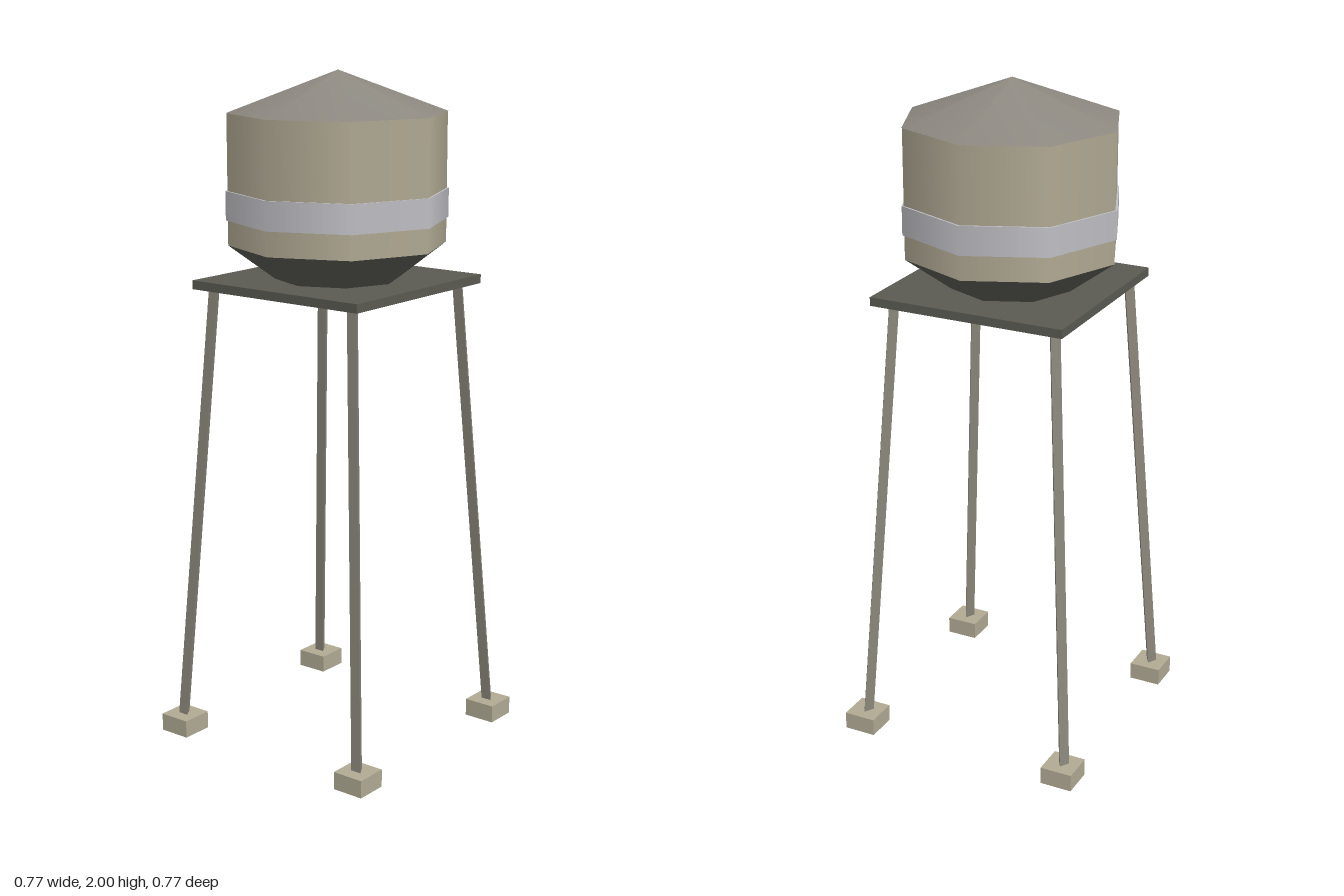
import * as THREE from 'three';

const mat = (color, extra = {}) => new THREE.MeshStandardMaterial({ color, ...extra });

export function createModel() {
  const group = new THREE.Group();
  const tan = mat(0xb0a993);
  const band = mat(0xbfbfc4);
  const roofGrey = mat(0x8c8880);
  const dark = mat(0x5a5a52);
  const legMat = mat(0x8a867a, { flatShading: true });
  const footMat = mat(0xb0a993, { side: THREE.DoubleSide });

  const add = (name, geometry, material, x = 0, y = 0, z = 0) => {
    const mesh = new THREE.Mesh(geometry, material);
    mesh.name = name;
    mesh.position.set(x, y, z);
    group.add(mesh);
    return mesh;
  };

  // Eight-sided ring section between two heights
  const section = (name, rTop, rBottom, y0, y1, material) =>
    add(name, new THREE.CylinderGeometry(rTop, rBottom, y1 - y0, 8), material, 0, (y0 + y1) / 2, 0);

  // Tank, from roof down to the funnel
  section('roof', 0, 0.322, 1.88, 2.0, roofGrey);
  section('tank', 0.32, 0.32, 1.5, 1.88, tan);
  section('tankBand', 0.326, 0.326, 1.573, 1.658, band);
  section('funnel', 0.32, 0.185, 1.4, 1.5, dark);

  // Square platform
  add('platform', new THREE.BoxGeometry(0.602, 0.026, 0.602), dark, 0, 1.387, 0);

  // Foot: a box without its bottom face (each side has six indices, the bottom is the fourth)
  const footGeometry = new THREE.BoxGeometry(0.098, 0.053, 0.098);
  const index = Array.from(footGeometry.index.array);
  index.splice(18, 6);
  footGeometry.setIndex(index);
  footGeometry.clearGroups();

  // Three-sided legs lean inward from the feet to the platform
  const legBottom = 0.05, legTop = 1.378, spread = 0.335, topSpread = 0.254;
  for (const sx of [-1, 1]) {
    for (const sz of [-1, 1]) {
      const side = (sz > 0 ? 'front' : 'back') + (sx > 0 ? 'Left' : 'Right');
      const leg = new THREE.CylinderGeometry(0.019, 0.019, legTop - legBottom, 3, 1, false, Math.PI / 2);
      leg.translate(0, (legTop + legBottom) / 2, 0);
      const p = leg.attributes.position;
      for (let i = 0; i < p.count; i++) {
        const t = (p.getY(i) - legBottom) / (legTop - legBottom);
        const offset = spread + (topSpread - spread) * t;
        p.setX(i, p.getX(i) + sx * offset);
        p.setZ(i, p.getZ(i) + sz * offset);
      }
      leg.computeVertexNormals();
      add(side + 'Leg', leg, legMat);
      add(side + 'Foot', footGeometry, footMat, sx * 0.335, 0.0265, sz * 0.335);
    }
  }
  return group;
}
